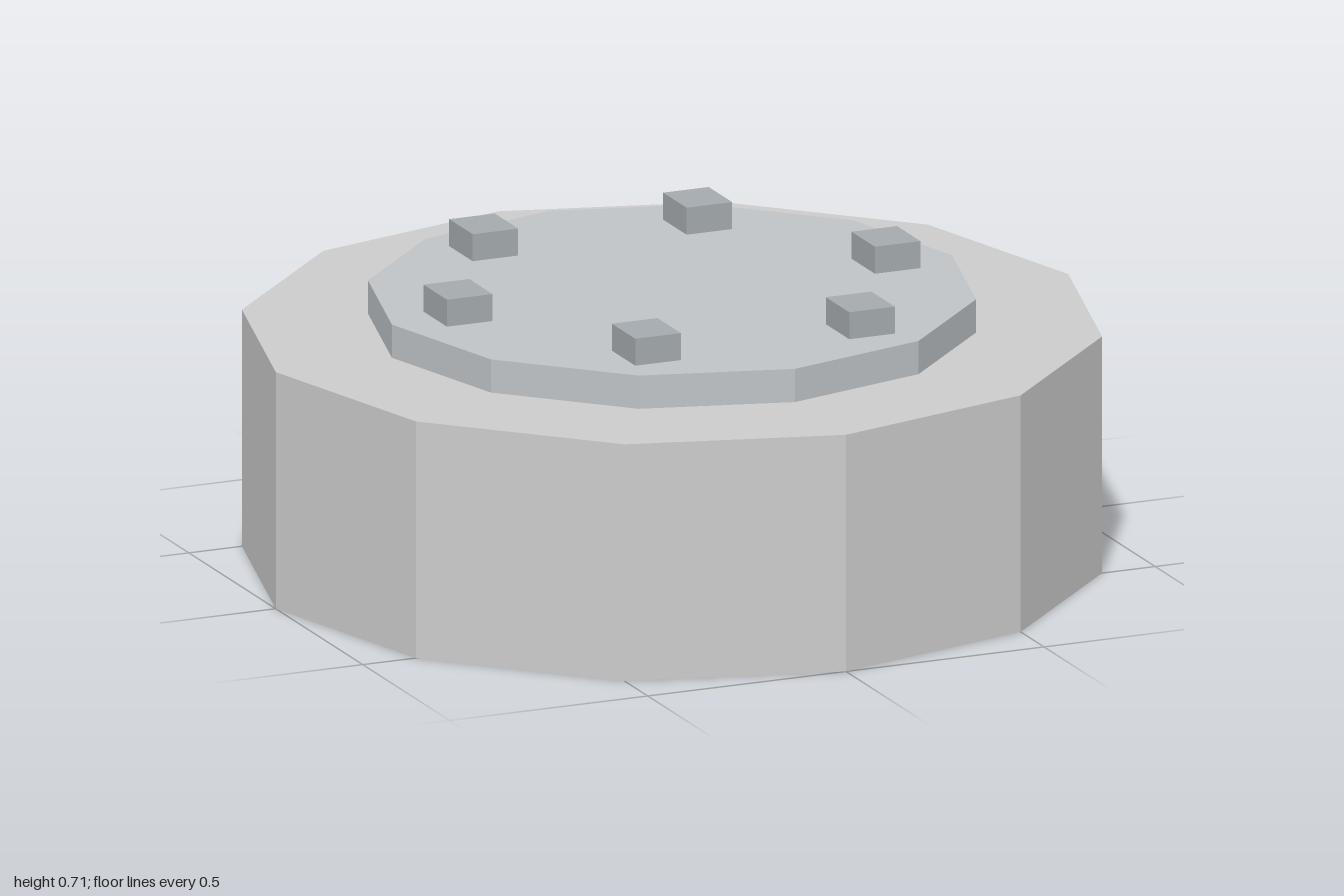
import * as THREE from 'three';

const SIDES = 12;

function material(color) {
  return new THREE.MeshStandardMaterial({ color, flatShading: true });
}

// Solid part that stands on height y
function addPart(parent, name, geometry, mat, x, y, z, height) {
  const mesh = new THREE.Mesh(geometry, mat);
  mesh.name = name;
  mesh.position.set(x, y + height / 2, z);
  parent.add(mesh);
  return mesh;
}

export function createModel() {
  const model = new THREE.Group();
  model.name = 'studdedDrum';

  const baseHeight = 0.57;
  const plateHeight = 0.08;
  const studHeight = 0.065;

  // Twelve-sided drum
  addPart(model, 'base', new THREE.CylinderGeometry(1, 1, baseHeight, SIDES),
    material(0xcccccc), 0, 0, 0, baseHeight);

  // Raised plate on top
  addPart(model, 'topPlate', new THREE.CylinderGeometry(0.707, 0.707, plateHeight, SIDES),
    material(0xbfc3c6), 0, baseHeight, 0, plateHeight);

  // Ring of six axis-aligned studs
  const studs = new THREE.Group();
  studs.name = 'studs';
  const studGeometry = new THREE.BoxGeometry(0.115, studHeight, 0.135);
  const studMaterial = material(0xa4aaae);
  for (let i = 0; i < 6; i++) {
    const angle = (i / 6) * Math.PI * 2;
    addPart(studs, 'stud' + (i + 1), studGeometry, studMaterial,
      Math.cos(angle) * 0.54, baseHeight + plateHeight, Math.sin(angle) * 0.54, studHeight);
  }
  model.add(studs);

  return model;
}
